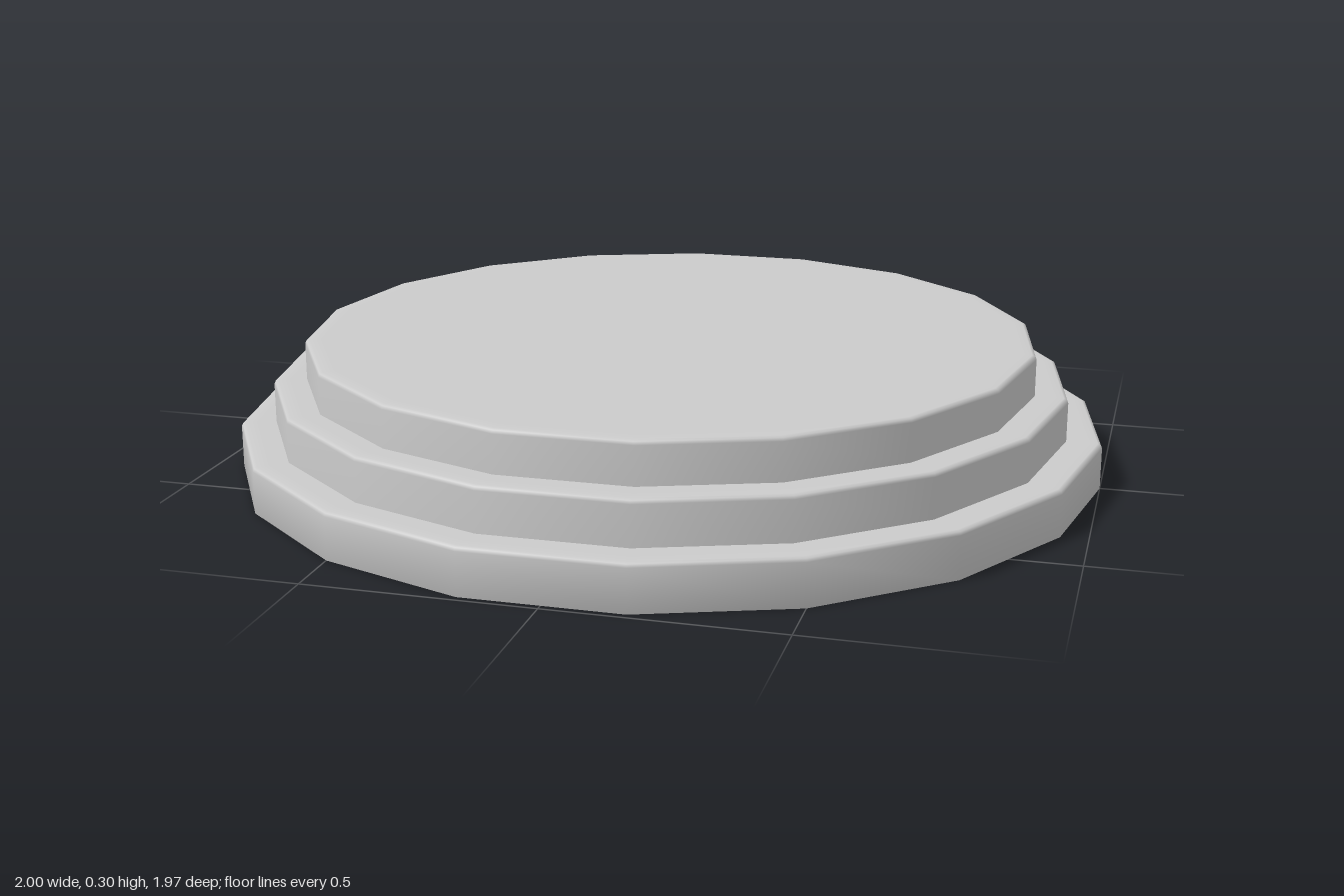
import * as THREE from 'three';

const SIDES = 18;

// Revolves a [radius, height] profile, with a corner on the x axis
function turned(name, profile, material) {
  const points = profile.map(([r, y]) => new THREE.Vector2(r, y));
  const mesh = new THREE.Mesh(new THREE.LatheGeometry(points, SIDES, Math.PI / 2), material);
  mesh.name = name;
  return mesh;
}

// Wall with a softened top rim, closing inwards to radius `inner`
function wall(radius, bottom, top, inner) {
  const b = 0.01;
  return [
    [radius, bottom],
    [radius, top - b],
    [radius - 0.3 * b, top - 0.3 * b],
    [radius - b, top],
    [radius - 0.035, top],
    [inner, top],
  ];
}

export function createModel() {
  const group = new THREE.Group();
  group.name = 'steppedRoundBase';
  const material = new THREE.MeshStandardMaterial({ color: 0xcccccc });

  // Lowest step, closed underneath
  const underside = [[0, 0], [0.97, 0]];
  group.add(turned('bottomStep', [...underside, ...wall(1, 0, 0.105, 0.92)], material));

  // Middle step
  group.add(turned('middleStep', wall(0.92, 0.105, 0.205, 0.845), material));

  // Top step with the flat platform
  group.add(turned('topStep', wall(0.845, 0.205, 0.3, 0), material));

  return group;
}
